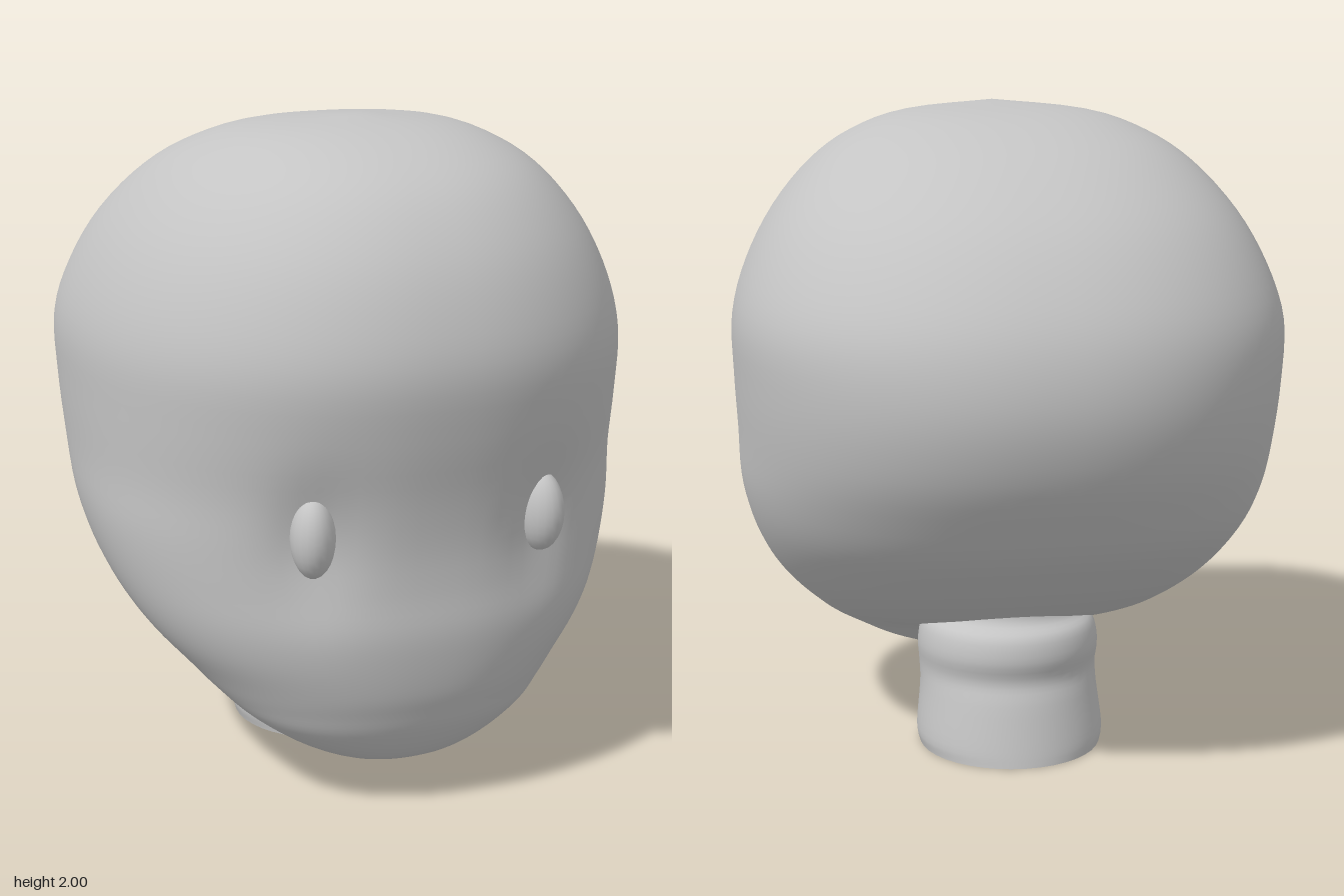
import * as THREE from 'three';
import { mergeVertices } from 'three/addons/utils/BufferGeometryUtils.js';

// Smooth loft through horizontal sections, top to bottom: [y, zFront, zBack, halfWidth, zWidest]
function loft(rows, rings, sides, power, shape = () => {}) {
  const depth = new THREE.CatmullRomCurve3(rows.map(r => new THREE.Vector3(r[0], r[1], r[2])), false, 'catmullrom', 0.5);
  const width = new THREE.CatmullRomCurve3(rows.map(r => new THREE.Vector3(r[3], r[4], 0)), false, 'catmullrom', 0.5);
  const round = v => Math.sign(v) * Math.abs(v) ** (2 / power);
  const pos = [], index = [], p = new THREE.Vector3();
  for (let i = 0; i <= rings; i++) {
    const d = depth.getPoint(i / rings), w = width.getPoint(i / rings);
    for (let j = 0; j < sides; j++) {
      const a = j / sides * Math.PI * 2, c = round(Math.cos(a));
      p.set(w.x * round(Math.sin(a)), d.x, w.y + c * (c > 0 ? d.y - w.y : w.y - d.z));
      shape(p);
      pos.push(p.x, p.y, p.z);
      if (i < rings) {
        const k = (j + 1) % sides, A = i * sides + j, C = i * sides + k;
        index.push(A, A + sides, C, C, A + sides, C + sides);
      }
    }
  }
  let g = new THREE.BufferGeometry();
  g.setAttribute('position', new THREE.Float32BufferAttribute(pos, 3));
  g.setIndex(index);
  g = mergeVertices(g, 1e-5);
  g.computeVertexNormals();
  return g;
}

// Shallow eye sockets pressed into the face
function pressSockets(p) {
  if (p.z < 0.4) return;
  const dx = (Math.abs(p.x) - 0.35) / 0.11, dy = (p.y - 0.88) / 0.19;
  p.z -= 0.035 * Math.exp(-dx * dx - dy * dy);
}

export function createModel() {
  const model = new THREE.Group();
  const grey = new THREE.MeshStandardMaterial({ color: 0xc4c4c4 });
  grey.name = 'plain grey';
  const add = (name, geometry) => {
    const mesh = new THREE.Mesh(geometry, grey);
    mesh.name = name;
    model.add(mesh);
    return mesh;
  };

  // Skull tapering to the chin
  add('head', loft([
    [2.0, 0.2, 0.2, 0, 0.2],
    [1.97, 0.42, -0.12, 0.29, 0.12],
    [1.91, 0.6, -0.34, 0.46, 0.08],
    [1.82, 0.74, -0.53, 0.59, 0.04],
    [1.68, 0.85, -0.72, 0.71, 0],
    [1.52, 0.915, -0.85, 0.795, -0.03],
    [1.36, 0.94, -0.925, 0.84, -0.05],
    [1.18, 0.91, -0.94, 0.838, -0.03],
    [1.0, 0.865, -0.89, 0.828, 0],
    [0.85, 0.84, -0.795, 0.82, 0.05],
    [0.72, 0.835, -0.69, 0.79, 0.1],
    [0.6, 0.84, -0.545, 0.74, 0.16],
    [0.5, 0.83, -0.4, 0.675, 0.22],
    [0.4, 0.81, -0.2, 0.585, 0.28],
    [0.33, 0.785, 0.02, 0.52, 0.34],
    [0.26, 0.755, 0.22, 0.44, 0.42],
    [0.18, 0.7, 0.36, 0.31, 0.48],
    [0.13, 0.64, 0.44, 0.17, 0.52],
    [0.105, 0.53, 0.53, 0, 0.53],
  ], 72, 96, 2.2, pressSockets));

  // Eye bumps
  for (const [side, name] of [[-1, 'rightEye'], [1, 'leftEye']]) {
    const eye = add(name, new THREE.SphereGeometry(1, 20, 14));
    eye.scale.set(0.065, 0.12, 0.08);
    eye.position.set(side * 0.35, 0.9, 0.755);
    eye.rotation.y = side * 0.3;
  }

  // Neck with a slightly swollen rim under the skull
  add('neck', loft([
    [0.5, 0.12, -0.3, 0.22, -0.09],
    [0.43, 0.14, -0.31, 0.23, -0.09],
    [0.39, 0.18, -0.36, 0.27, -0.09],
    [0.32, 0.2, -0.375, 0.285, -0.09],
    [0.25, 0.2, -0.36, 0.28, -0.08],
    [0.18, 0.19, -0.38, 0.28, -0.1],
    [0.05, 0.17, -0.41, 0.294, -0.12],
    [0, 0.17, -0.42, 0.285, -0.125],
  ], 28, 40, 2));

  // Flat cut at the base of the neck
  const base = add('neckBase', new THREE.CircleGeometry(1, 40));
  base.rotation.x = Math.PI / 2;
  base.scale.set(0.285, 0.295, 1);
  base.position.set(0, 0, -0.125);

  return model;
}
